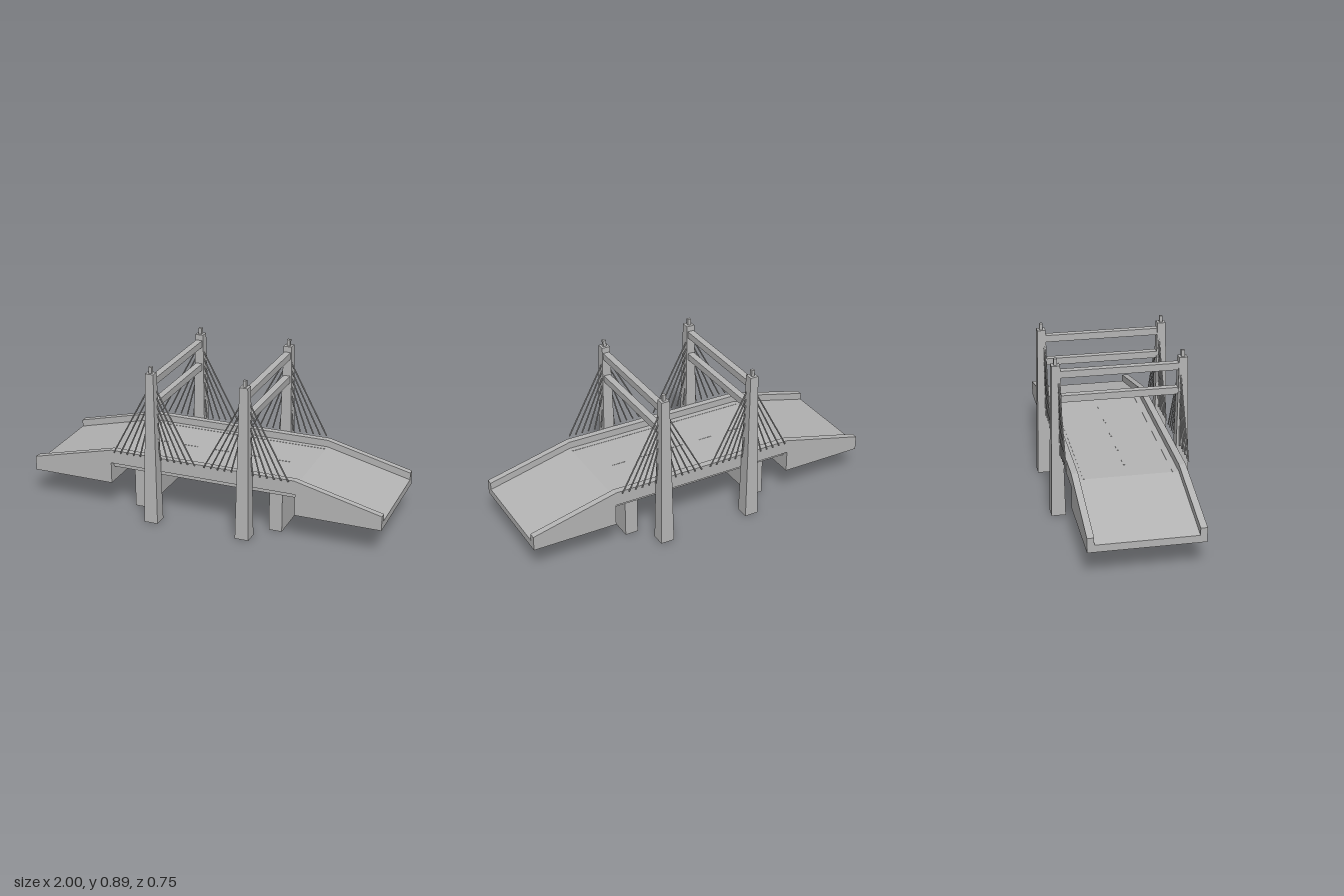
import * as THREE from 'three';

export function createModel() {
  const bridge = new THREE.Group();
  bridge.name = 'cableStayedBridge';
  const concrete = new THREE.MeshStandardMaterial({ color: 0xb4b4b4 });
  concrete.name = 'concrete grey';

  const add = (name, geometry, x = 0, y = 0, z = 0) => {
    const mesh = new THREE.Mesh(geometry, concrete);
    mesh.name = name;
    mesh.position.set(x, y, z);
    bridge.add(mesh);
    return mesh;
  };
  const box = (name, w, h, d, x, y, z) => add(name, new THREE.BoxGeometry(w, h, d), x, y, z);

  // Side profile (right half, top to bottom) mirrored and extruded along z
  const slab = (name, half, depth, z) => {
    const points = [...half, ...half.map(([x, y]) => [-x, y]).reverse()];
    const shape = new THREE.Shape(points.map(([x, y]) => new THREE.Vector2(x, y)));
    const geometry = new THREE.ExtrudeGeometry(shape, { depth, bevelEnabled: false });
    geometry.translate(0, 0, -depth / 2);
    add(name, geometry, 0, 0, z);
  };

  // Roadway with sloping ramps, and the parapets beside it
  slab('roadDeck', [[0.525, 0.318], [1, 0.2], [1, 0.16], [0.53, 0.16], [0.53, 0.245]], 0.53, 0);
  for (const s of [-1, 1]) {
    slab('parapet', [[0.525, 0.357], [1, 0.24], [1, 0.16], [0.53, 0.16], [0.53, 0.28]], 0.036, s * 0.283);
    box('edgeLine', 1.05, 0.002, 0.008, 0, 0.3185, s * 0.235);
  }

  // Centre lane dashes
  for (let i = -2; i <= 2; i++) box('laneDash', 0.08, 0.002, 0.008, i * 0.18, 0.3185, 0);

  // Tapered square tower leg
  const legGeometry = new THREE.BoxGeometry(1, 0.855, 1);
  const p = legGeometry.attributes.position;
  for (let i = 0; i < p.count; i++) {
    const width = p.getY(i) > 0 ? 0.046 : 0.077;
    p.setX(i, p.getX(i) * width);
    p.setZ(i, p.getZ(i) * width);
  }
  legGeometry.computeVertexNormals();

  // Round cable between two points
  const up = new THREE.Vector3(0, 1, 0);
  const cable = (a, b) => {
    const dir = b.clone().sub(a);
    const mid = a.clone().add(b).multiplyScalar(0.5);
    const mesh = add('stayCable', new THREE.CylinderGeometry(0.004, 0.004, dir.length(), 6), mid.x, mid.y, mid.z);
    mesh.quaternion.setFromUnitVectors(up, dir.normalize());
  };

  for (const sx of [-1, 1]) {
    const tx = sx * 0.263;
    box('pier', 0.073, 0.247, 0.42, sx * 0.394, 0.1235, 0);
    box('upperCrossbeam', 0.037, 0.038, 0.64, tx, 0.804, 0);
    box('lowerCrossbeam', 0.037, 0.038, 0.64, tx, 0.667, 0);
    for (const sz of [-1, 1]) {
      add('towerLeg', legGeometry, tx, 0.4275, sz * 0.336);
      box('towerCap', 0.018, 0.036, 0.018, tx, 0.872, sz * 0.336);
      // Fan of six stays on each side of the leg
      for (const side of [-1, 1]) {
        for (let i = 0; i < 6; i++) {
          cable(
            new THREE.Vector3(tx + side * (0.237 - i * 0.039), 0.357, sz * 0.322),
            new THREE.Vector3(tx + side * 0.016, 0.77 - i * 0.04, sz * 0.322),
          );
        }
      }
    }
  }
  return bridge;
}
